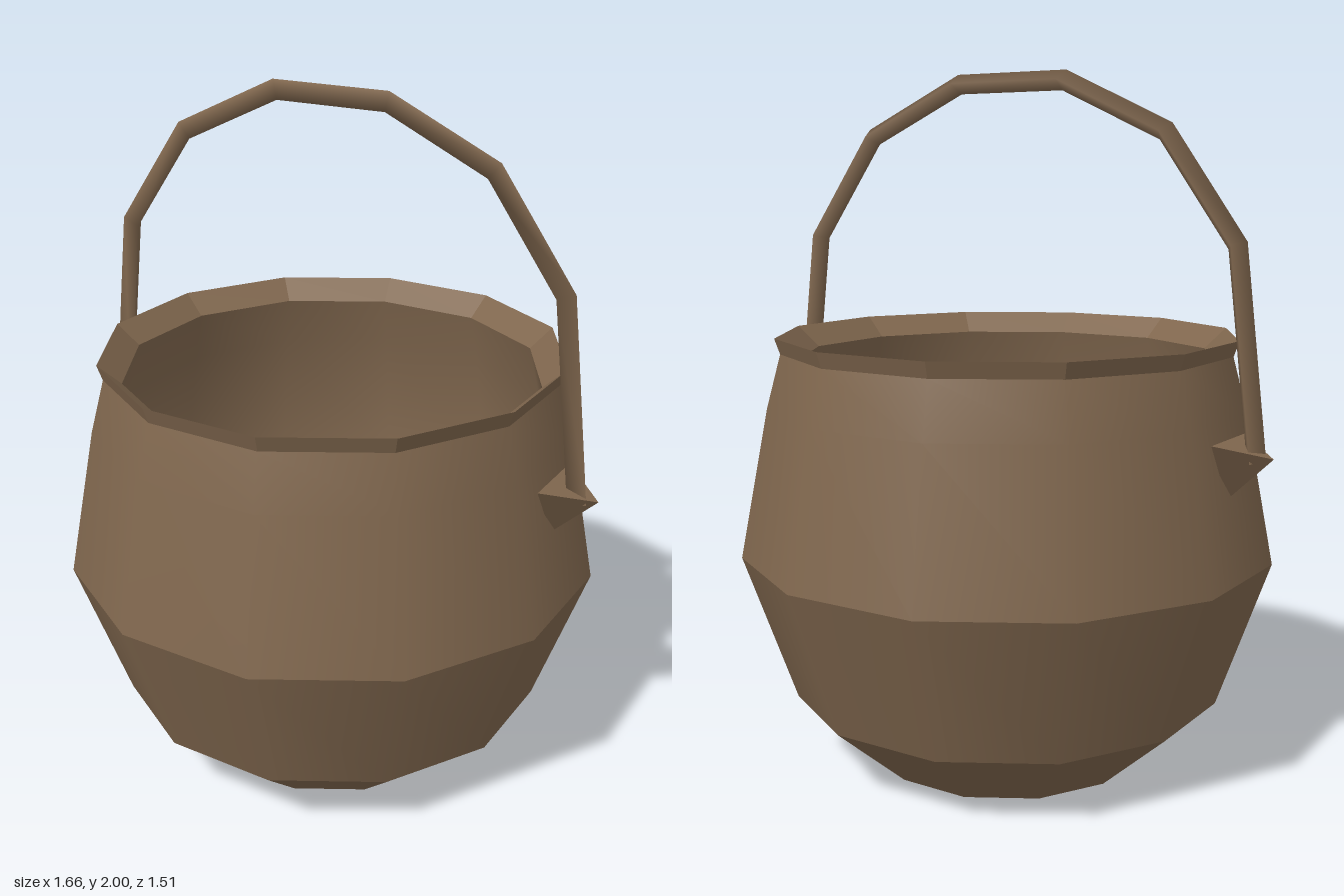
import * as THREE from 'three';

const SIDES = 12;
const TO_CORNER = 1 / Math.cos(Math.PI / SIDES);

// Twelve-sided ring; profile radii are measured to the flats
function band(profile, flat = false) {
  const pts = profile.map(([r, y]) => new THREE.Vector2(r * TO_CORNER, y));
  let geo = new THREE.LatheGeometry(pts, SIDES, Math.PI / SIDES);
  if (flat) {
    geo = geo.toNonIndexed();
    geo.computeVertexNormals();
  }
  return geo;
}

// Triangular rod swept along a mitred path in the xy plane
function rod(path, r) {
  const section = [[r * 0.87, r * 0.5], [-r * 0.87, r * 0.5], [0, -r]];
  const pos = [], idx = [];
  const dir = (a, b) => new THREE.Vector2().subVectors(b, a).normalize();
  path.forEach((p, i) => {
    const d0 = dir(path[Math.max(i - 1, 0)], path[Math.max(i, 1)]);
    const last = path.length - 1;
    const d1 = dir(path[Math.min(i, last - 1)], path[Math.min(i + 1, last)]);
    const t = d0.clone().add(d1).normalize();
    const miter = 1 / t.dot(d0);
    for (const [o, z] of section) pos.push(p.x + t.y * o * miter, p.y - t.x * o * miter, z);
    if (i === last) return;
    for (let k = 0; k < 3; k++) {
      const a = i * 3 + k, b = i * 3 + (k + 1) % 3;
      idx.push(a, a + 3, b + 3, a, b + 3, b);
    }
  });
  const geo = new THREE.BufferGeometry();
  geo.setAttribute('position', new THREE.Float32BufferAttribute(pos, 3));
  geo.setIndex(idx);
  geo.computeVertexNormals();
  return geo;
}

// Four-faced bracket pointing away from the pot; s is the side (+1 or -1)
function bracketGeometry(s) {
  const A = [s * 0.7, 1.015, s * 0.11], B = [s * 0.7, 1.015, s * -0.11];
  const C = [s * 0.7, 0.85, 0], P = [s * 0.83, 0.975, 0];
  const faces = [A, P, B, A, C, P, C, B, P, A, B, C];
  const geo = new THREE.BufferGeometry();
  geo.setAttribute('position', new THREE.Float32BufferAttribute(faces.flat(), 3));
  geo.computeVertexNormals();
  return geo;
}

export function createModel() {
  const model = new THREE.Group();
  model.name = 'cauldron';
  const brown = new THREE.MeshStandardMaterial({ color: 0x80674e });
  brown.name = 'brown';
  const add = (name, geo) => {
    const mesh = new THREE.Mesh(geo, brown);
    mesh.name = name;
    model.add(mesh);
  };

  // Pot, each band with its own crease
  add('base', band([[0, 0], [0.39, 0]], true));
  add('lowerWall', band([[0.39, 0], [0.61, 0.2]]));
  add('middleWall', band([[0.61, 0.2], [0.755, 0.63]]));
  add('upperWall', band([[0.755, 0.63], [0.675, 1.06], [0.635, 1.215]]));
  add('rim', band([[0.635, 1.215], [0.65, 1.26], [0.585, 1.2]], true));
  add('innerWall', band([[0.585, 1.2], [0.62, 1.05], [0.69, 0.63], [0.56, 0.23], [0.45, 0.1]]));
  add('innerFloor', band([[0.45, 0.1], [0, 0.1]], true));

  // Handle, mirrored about the middle
  const half = [[0.775, 0.96], [0.705, 1.53], [0.49, 1.828], [0.175, 1.972]];
  const arc = [...half, ...half.map(([x, y]) => [-x, y]).reverse()];
  add('handle', rod(arc.map(([x, y]) => new THREE.Vector2(x, y)), 0.032));

  // Brackets holding the handle
  add('leftBracket', bracketGeometry(1));
  add('rightBracket', bracketGeometry(-1));
  return model;
}
